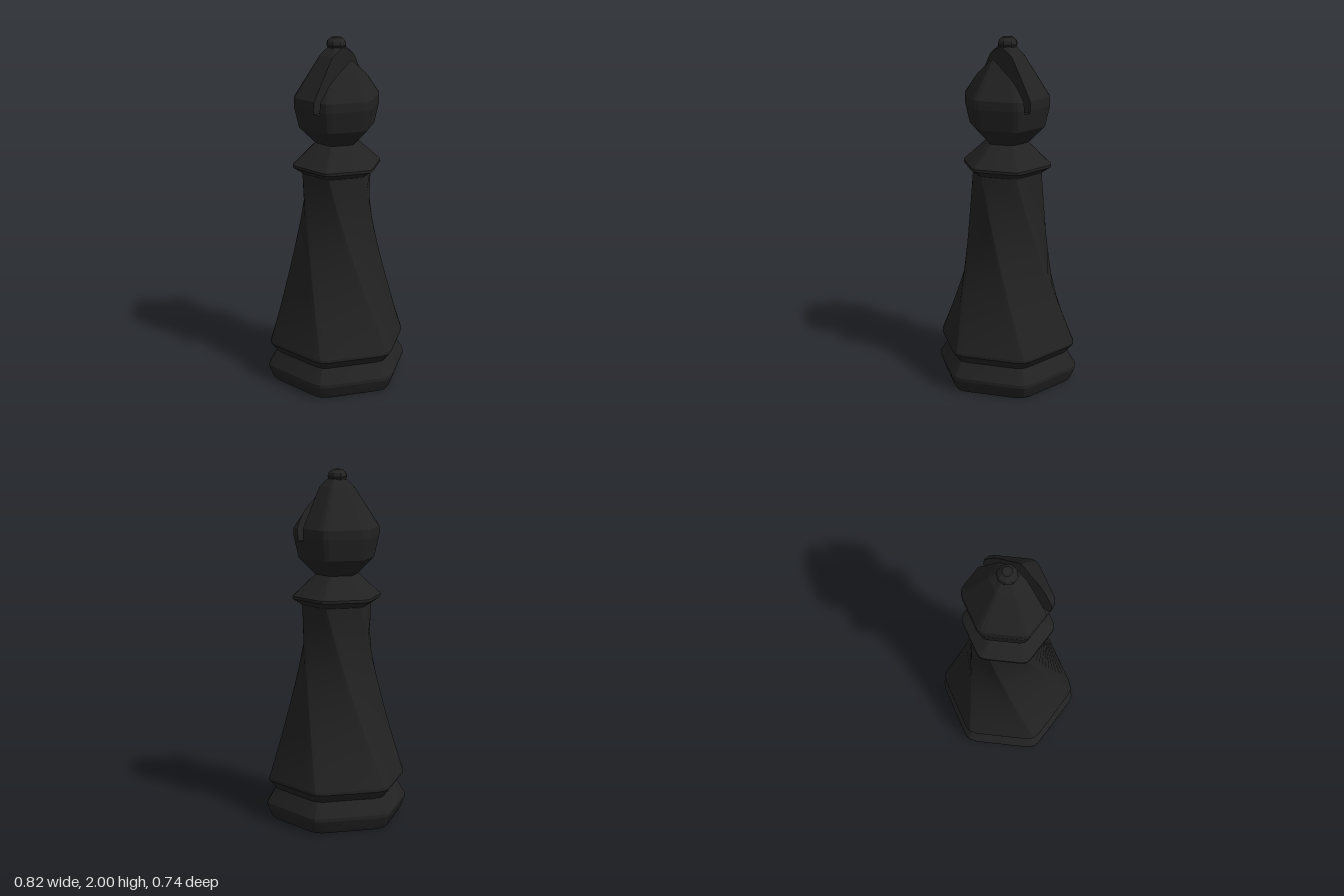
import * as THREE from 'three';
import { toCreasedNormals } from 'three/addons/utils/BufferGeometryUtils.js';
import { ConvexGeometry } from 'three/addons/geometries/ConvexGeometry.js';

const CORNER = 0.12; // how far each hexagon corner is rounded

// Hexagon with softly rounded corners, three points per corner
function hexRing(y, apothem) {
  const r = apothem / Math.cos(Math.PI / 6);
  const corner = k => new THREE.Vector3(
    r * Math.cos(k * Math.PI / 3), y, r * Math.sin(k * Math.PI / 3));
  const points = [];
  for (let k = 0; k < 6; k++) {
    const v = corner(k);
    const a = v.clone().lerp(corner(k - 1), CORNER);
    const b = v.clone().lerp(corner(k + 1), CORNER);
    points.push(a, a.clone().lerp(b, 0.5).lerp(v, 0.5), b);
  }
  return points;
}

// Closed skin through rings listed from bottom to top
function loft(rings) {
  const n = rings[0].length;
  const points = rings.flat();
  const index = [];
  for (let j = 0; j < rings.length - 1; j++) {
    for (let i = 0; i < n; i++) {
      const a = j * n + i, b = j * n + (i + 1) % n;
      index.push(a, a + n, b, b, a + n, b + n);
    }
  }
  const last = (rings.length - 1) * n, bottom = points.length, top = bottom + 1;
  points.push(new THREE.Vector3(0, rings[0][0].y, 0));
  points.push(new THREE.Vector3(0, rings[rings.length - 1][0].y, 0));
  for (let i = 0; i < n; i++) {
    const next = (i + 1) % n;
    index.push(bottom, i, next, top, last + next, last + i);
  }
  const geometry = new THREE.BufferGeometry().setFromPoints(points);
  geometry.setIndex(index);
  return toCreasedNormals(geometry, 0.3);
}

// Keep the part of a convex point set on the positive side of a plane
function clip(points, plane) {
  const kept = points.filter(p => plane.distanceToPoint(p) >= 0);
  const cut = points.filter(p => plane.distanceToPoint(p) < 0);
  const result = [...kept];
  for (const p of kept) {
    for (const q of cut) {
      const dp = plane.distanceToPoint(p), dq = plane.distanceToPoint(q);
      result.push(p.clone().lerp(q, dp / (dp - dq)));
    }
  }
  return result;
}

export function createModel() {
  const group = new THREE.Group();
  const black = new THREE.MeshStandardMaterial({ color: 0x222222 });
  black.name = 'black';

  const add = (name, geometry, parent = group) => {
    const mesh = new THREE.Mesh(geometry, black);
    mesh.name = name;
    parent.add(mesh);
    return mesh;
  };
  const hexStack = profile => loft(profile.map(([y, a]) => hexRing(y, a)));

  // Foot and the flared band above its groove
  add('foot', hexStack([[0, 0.337], [0.015, 0.346], [0.075, 0.368], [0.093, 0.368], [0.178, 0.322]]));
  add('footBand', hexStack([[0.176, 0.322], [0.225, 0.357], [0.24, 0.357]]));

  // Body: each corner travels to the place of the next one, giving a sixth of a turn
  const low = hexRing(0.24, 0.357), high = hexRing(1.25, 0.18);
  const bodyRings = [];
  const steps = 12;
  for (let j = 0; j <= steps; j++) {
    const t = j / steps;
    const s = t + 0.25 * t * (1 - t);
    bodyRings.push(low.map((p, i) => {
      const q = p.clone().lerp(high[(i + 3) % high.length], s);
      q.y = 0.24 + 1.01 * t;
      return q;
    }));
  }
  add('twistedBody', loft(bodyRings));

  // Collar
  add('collar', hexStack([[1.235, 0.176], [1.245, 0.181], [1.28, 0.228], [1.295, 0.228], [1.42, 0.106]]));

  // Head: a convex gem, cut into three pieces that leave a slanted slit open
  const head = new THREE.Group();
  head.name = 'head';
  group.add(head);
  const gem = [[1.41, 0.106], [1.51, 0.195], [1.63, 0.22], [1.68, 0.22], [1.905, 0.087], [1.95, 0.045]]
    .flatMap(([y, a]) => hexRing(y, a));
  const slitFloor = 1.61;
  const upper = clip(gem, new THREE.Plane(new THREE.Vector3(0, 1, 0), -slitFloor));
  const lower = clip(gem, new THREE.Plane(new THREE.Vector3(0, -1, 0), slitFloor));
  // Wall through (x, slitFloor), leaning by dx over dy, keeping the given side
  const wall = (x, dx, dy, side) => new THREE.Plane().setFromNormalAndCoplanarPoint(
    new THREE.Vector3(dy, -dx, 0).normalize().multiplyScalar(side),
    new THREE.Vector3(x, slitFloor, 0));
  add('headLower', new ConvexGeometry(lower), head);
  add('headMain', new ConvexGeometry(clip(upper, wall(0.035, 0.015, 0.34, -1))), head);
  add('headSideLobe', new ConvexGeometry(clip(upper, wall(0.078, 0.029, 0.26, 1))), head);

  // Eight-sided finial
  const knobProfile = [[0, 1.92], [0.04, 1.92], [0.058, 1.96], [0.052, 1.98], [0.028, 2], [0, 2]]
    .map(([r, y]) => new THREE.Vector2(r, y));
  const knob = new THREE.LatheGeometry(knobProfile, 8, Math.PI / 8);
  add('finial', toCreasedNormals(knob, 0.3)).position.x = -0.004;

  return group;
}
